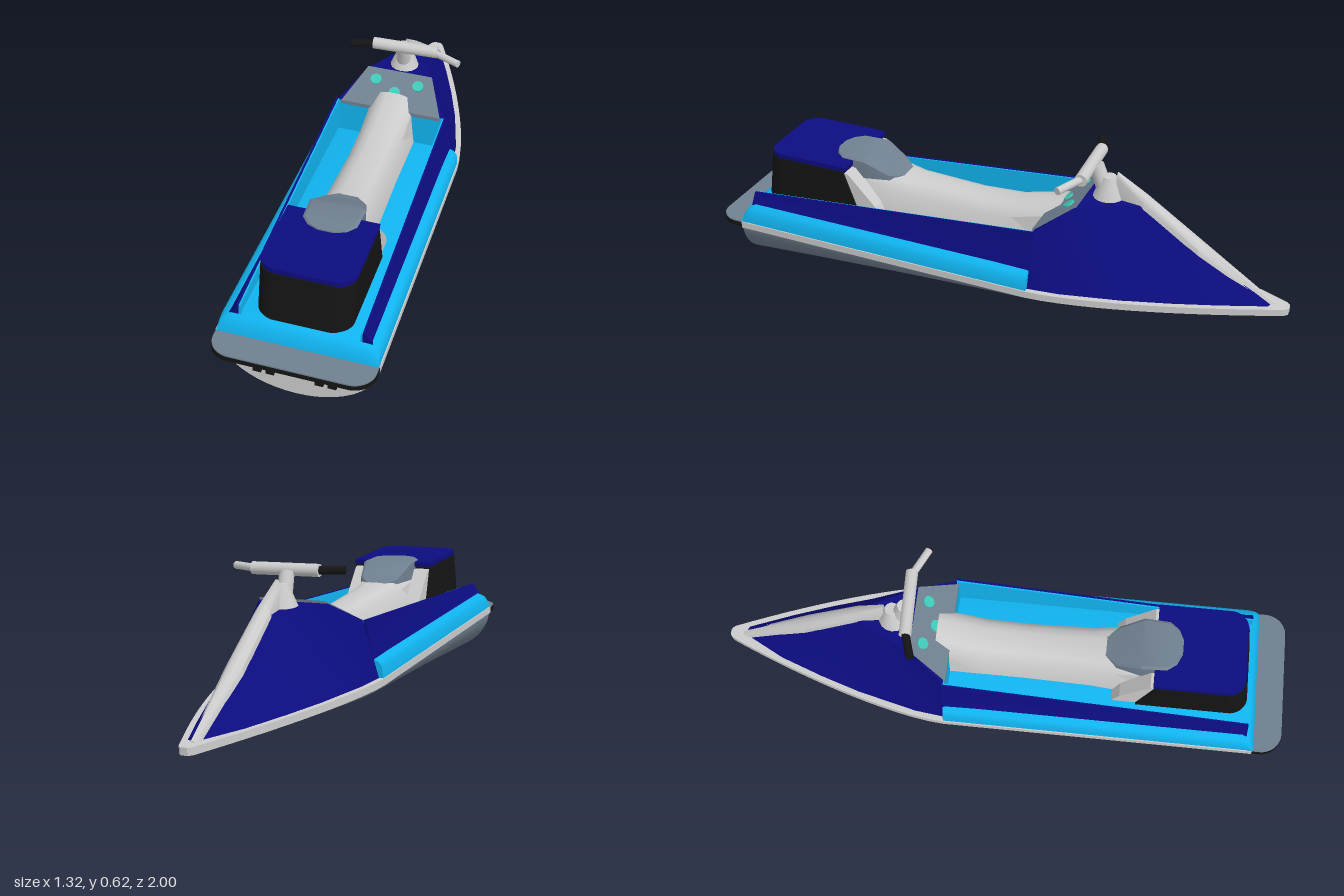
import * as THREE from 'three';
import { toCreasedNormals } from 'three/addons/utils/BufferGeometryUtils.js';

const GREY = 0xcccccc, SLATE = 0x708090, BLUE = 0x0c0c80, CYAN = 0x10b4f0, BLACK = 0x141414, TEAL = 0x40c8b8;

function mesh(name, geometry, color, parent) {
  const m = new THREE.Mesh(geometry, new THREE.MeshStandardMaterial({ color }));
  m.name = name;
  parent.add(m);
  return m;
}

// Capped skin over closed rings; rings run from stern (+z) to bow (-z), counter-clockwise seen from the stern
function loft(rings, crease = 0.5) {
  const n = rings[0].length, last = (rings.length - 1) * n, idx = [];
  for (let i = 0; i < rings.length - 1; i++) {
    for (let j = 0; j < n; j++) {
      const k = (j + 1) % n;
      const a = i * n + j, b = i * n + k, c = b + n, d = a + n;
      idx.push(a, d, b, b, d, c);
    }
  }
  for (let j = 1; j < n - 1; j++) idx.push(0, j, j + 1, last, last + j + 1, last + j);
  const g = new THREE.BufferGeometry();
  g.setAttribute('position', new THREE.Float32BufferAttribute(rings.flat(2), 3));
  g.setIndex(idx);
  return toCreasedNormals(g, crease);
}

// Symmetric ring from a right-hand half profile listed bottom to top
function ring(z, half) {
  const right = half.map(([x, y]) => [x, y, z]);
  const left = half.filter(([x]) => x > 1e-6).map(([x, y]) => [-x, y, z]).reverse();
  return [...right, ...left];
}

// Horizontal slab with rounded rear corners
function slab(w, z0, z1, r, y0, y1) {
  const s = new THREE.Shape();
  s.moveTo(-w, -z0);
  s.lineTo(-w, -z1 + r);
  s.absarc(-w + r, -z1 + r, r, Math.PI, Math.PI * 1.5, false);
  s.absarc(w - r, -z1 + r, r, Math.PI * 1.5, Math.PI * 2, false);
  s.lineTo(w, -z0);
  const g = new THREE.ExtrudeGeometry(s, { depth: y1 - y0, bevelEnabled: false, curveSegments: 8 });
  return g.rotateX(-Math.PI / 2).translate(0, y0, 0);
}

// Round bar between two points
function rod(a, b, ra, rb, sides = 16) {
  const p = new THREE.Vector3(...a), q = new THREE.Vector3(...b), d = q.clone().sub(p);
  const g = new THREE.CylinderGeometry(rb, ra, d.length(), sides);
  g.applyQuaternion(new THREE.Quaternion().setFromUnitVectors(new THREE.Vector3(0, 1, 0), d.normalize()));
  return g.translate(...p.add(q).multiplyScalar(0.5).toArray());
}

// Half width of the hull plan at z
function halfWidth(z) {
  const t = Math.max(0, (-0.3 - z) / 0.87);
  return 0.288 * (1 - Math.min(1, t) ** 1.4) + 0.025 * Math.min(1, t);
}

export function createModel() {
  const root = new THREE.Group();
  root.name = 'watercraft';
  const craft = new THREE.Group();
  craft.name = 'craft';
  craft.rotation.set(0, -Math.PI / 6, -0.036, 'ZYX');
  craft.position.set(0.048, 0, 0.0275);
  root.add(craft);

  // Hull, transom and rim
  const stations = [0.88, 0.3, -0.3];
  for (let i = 1; i <= 14; i++) stations.push(-0.3 - 0.87 * i / 14);
  const hullRing = (z) => {
    const w = halfWidth(z) - 0.006, depth = 0.004 + 0.197 * (z + 1.17) / 2.05, half = [];
    for (let i = 0; i <= 12; i++) {
      const a = i / 12 * Math.PI / 2;
      half.push([w * Math.sin(a), 0.187 - depth * Math.cos(a)]);
    }
    return ring(z, half);
  };
  mesh('hull', loft(stations.map(hullRing), 0.7), SLATE, craft);
  const end = hullRing(0.88).map(([x, y]) => new THREE.Vector2(x, y));
  mesh('transom', new THREE.ShapeGeometry(new THREE.Shape(end)).translate(0, 0, 0.882), GREY, craft);
  const rim = (z, w) => ring(z, [[w, 0.174], [w, 0.2]]);
  const rimRings = stations.map((z) => rim(z, halfWidth(z)));
  rimRings.push(rim(-1.182, 0.012));
  mesh('rim', loft(rimRings), GREY, craft);

  // Boarding platform and outlets
  mesh('platformEdge', slab(0.287, 0.86, 0.99, 0.08, 0.178, 0.196), BLACK, craft);
  mesh('platformTop', slab(0.285, 0.86, 0.989, 0.08, 0.196, 0.201), SLATE, craft);
  for (const x of [-0.133, -0.087, 0.087, 0.133]) {
    mesh('outlet', new THREE.BoxGeometry(0.03, 0.045, 0.035).translate(x, 0.096, 0.89), BLACK, craft);
  }

  // Deck with rounded shoulders and stern
  const deckRing = (z, h) => ring(z, [[0.284, 0.198], [0.28, 0.2 + 0.04 * h], [0.268, 0.2 + 0.058 * h], [0.24, 0.2 + 0.07 * h]]);
  const deck = [[0.885, 0.05], [0.872, 0.6], [0.86, 0.85], [0.835, 1], [-0.3, 1]];
  mesh('deck', loft(deck.map(([z, h]) => deckRing(z, h)), 0.7), CYAN, craft);

  // Side walls: blue outside, lighter inside
  const walls = [[0.85, 0.305], [-0.3, 0.408]];
  for (const side of [1, -1]) {
    const outer = walls.map(([z, t]) => [[0.215, 0.262, z], [0.25, 0.262, z], [0.223, t, z], [0.215, t, z]]);
    const inner = walls.map(([z, t]) => [[0.207, 0.262, z], [0.215, 0.262, z], [0.215, t - 0.002, z], [0.209, t - 0.002, z]]);
    mesh('sideWall', loft(outer), BLUE, craft).scale.x = side;
    mesh('sideWallLining', loft(inner), CYAN, craft).scale.x = side;
  }

  // Bow hood: [z, top half width, top height]
  const hood = [[-0.296, 0.213, 0.406], [-0.42, 0.133, 0.49], [-0.64, 0.02, 0.49],
    [-0.8, 0.018, 0.393], [-0.96, 0.014, 0.297], [-1.12, 0.006, 0.2]];
  mesh('hood', loft(hood.map(([z, w, y]) => ring(z, [[halfWidth(z) - 0.018, 0.195], [w, y]]))), BLUE, craft);
  const bulkhead = [[-0.291, 0.268], [-0.296, 0.268]];
  mesh('hoodRearWall', loft(bulkhead.map(([z, y]) => ring(z, [[0.21, y], [0.21, 0.403]]))), CYAN, craft);

  // Instrument panel and dials
  const panel = [[-0.288, 0.2, 0.407], [-0.425, 0.13, 0.499]];
  mesh('instrumentPanel', loft(panel.map(([z, w, y]) => ring(z, [[w, y - 0.015], [w, y]]))), SLATE, craft);
  for (const [x, z] of [[-0.085, -0.383], [0, -0.348], [0.085, -0.383]]) {
    const dial = mesh('dial', new THREE.CylinderGeometry(0.022, 0.022, 0.012, 20), TEAL, craft);
    dial.position.set(x, 0.499 - (z + 0.425) * 0.67, z);
    dial.rotation.x = 0.59;
  }

  // Bow ridge: [z, half width, top height]
  const ridge = [[-0.53, 0.012, 0.59], [-0.64, 0.028, 0.522], [-0.85, 0.032, 0.383], [-1.13, 0.016, 0.203]];
  mesh('bowRidge', loft(ridge.map(([z, w, y]) =>
    ring(z, [[w, Math.max(0.19, y - 0.1)], [w, y - 0.018], [w * 0.4, y]])), 0.9), GREY, craft);

  // Steering column and handlebar
  mesh('columnBase', rod([0, 0.48, -0.5], [0, 0.57, -0.5], 0.06, 0.025), GREY, craft);
  mesh('column', rod([0, 0.5, -0.49], [0, 0.605, -0.45], 0.03, 0.026), GREY, craft);
  mesh('handlebar', rod([-0.115, 0.607, -0.43], [0.14, 0.607, -0.44], 0.023, 0.023), GREY, craft);
  mesh('gripRight', rod([0.13, 0.606, -0.437], [0.235, 0.603, -0.39], 0.014, 0.014), GREY, craft);
  mesh('gripLeft', rod([-0.1, 0.607, -0.432], [-0.2, 0.606, -0.4], 0.015, 0.015), BLACK, craft);

  // Saddle: [z, top half width, top height]
  const saddle = [[0.52, 0.07, 0.45], [0.34, 0.068, 0.418], [0.25, 0.06, 0.403],
    [0, 0.055, 0.395], [-0.16, 0.055, 0.404], [-0.34, 0.055, 0.45]];
  mesh('saddle', loft(saddle.map(([z, w, y]) =>
    ring(z, [[w + 0.05, 0.265], [w + 0.03, y - 0.04], [w, y - 0.008], [w * 0.5, y]])), 0.6), GREY, craft);

  // Saddle hump with a rounded tail
  const hump = [[0.578, 0.03, 0.469], [0.56, 0.07, 0.47], [0.525, 0.097, 0.472], [0.43, 0.102, 0.472],
    [0.34, 0.08, 0.425], [0.285, 0.03, 0.407]];
  mesh('saddleHump', loft(hump.map(([z, w, y]) => ring(z, [[w, Math.min(0.4, y - 0.02)], [w, y - 0.006], [w * 0.9, y]]))), SLATE, craft);

  // Rear seat: grey sloped front, black body, blue cushion
  const wedge = new THREE.Shape([[-0.33, 0.265], [-0.36, 0.32], [-0.47, 0.435], [-0.52, 0.44], [-0.5, 0.265]]
    .map(([x, y]) => new THREE.Vector2(x, y)).reverse());
  const wedgeGeo = new THREE.ExtrudeGeometry(wedge, { depth: 0.32, bevelEnabled: false });
  mesh('rearSeatFront', wedgeGeo.rotateY(Math.PI / 2).translate(-0.16, 0, 0), GREY, craft);
  const body = slab(0.168, 0.42, 0.845, 0.07, 0.26, 0.446);
  const pos = body.attributes.position;
  for (let i = 0; i < pos.count; i++) {
    const z = pos.getZ(i), up = (pos.getY(i) - 0.26) / 0.186;
    pos.setZ(i, z < 0.5 ? z + 0.07 * up : z - 0.025 * up);
  }
  body.computeVertexNormals();
  mesh('rearSeatBody', body, BLACK, craft);
  mesh('rearSeatCushion', slab(0.166, 0.48, 0.815, 0.065, 0.446, 0.464), BLUE, craft);

  return root;
}
